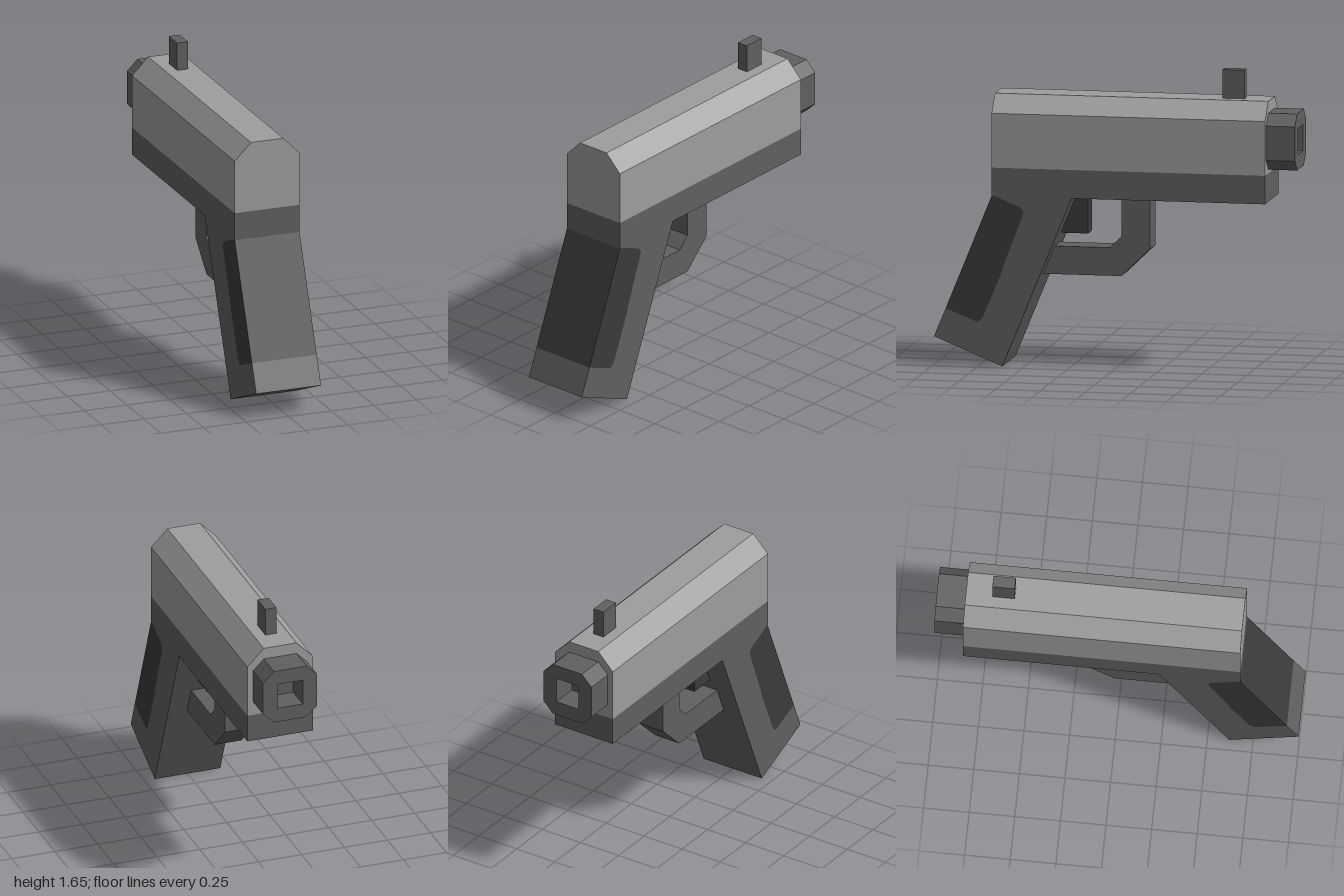
import * as THREE from 'three';

const mat = (name, color) => {
  const m = new THREE.MeshStandardMaterial({ color });
  m.name = name;
  return m;
};

const toShape = (pts) => new THREE.Shape(pts.map(([a, b]) => new THREE.Vector2(a, b)));

export function createModel() {
  const group = new THREE.Group();
  const light = mat('light grey', 0x9e9e9e);
  const mid = mat('mid grey', 0x606060);
  const dark = mat('dark grey', 0x3b3b3b);

  const add = (name, geometry, material) => {
    const mesh = new THREE.Mesh(geometry, material);
    mesh.name = name;
    group.add(mesh);
    return mesh;
  };

  // Side profile given as [z, y], extruded evenly about x = 0
  const side = (name, pts, width, material) => {
    const g = new THREE.ExtrudeGeometry(toShape(pts), { depth: width, bevelEnabled: false });
    g.translate(0, 0, -width / 2);
    g.rotateY(-Math.PI / 2);
    return add(name, g, material);
  };

  // Cross-section given as [x, y], extruded from z0 to z1
  const along = (name, shape, z0, z1, material) => {
    const g = new THREE.ExtrudeGeometry(shape, { depth: z1 - z0, bevelEnabled: false });
    g.translate(0, 0, z0);
    return add(name, g, material);
  };

  const box = (name, w, y0, y1, z0, z1, material) => {
    const g = new THREE.BoxGeometry(w, y1 - y0, z1 - z0);
    g.translate(0, (y0 + y1) / 2, (z0 + z1) / 2);
    return add(name, g, material);
  };

  // Chamfered upper body and the frame below it
  along('slide', toShape([
    [-0.19, 1.1], [0.19, 1.1], [0.19, 1.4], [0.095, 1.497], [-0.095, 1.497], [-0.19, 1.4],
  ]), -0.84, 0.68, light);
  box('frame', 0.38, 0.943, 1.1, -0.84, 0.68, mid);
  box('sight', 0.064, 1.49, 1.655, -0.695, -0.572, mid);

  // Eight-sided muzzle with a square opening
  const muzzle = toShape([
    [-0.095, 1.12], [0.095, 1.12], [0.157, 1.18], [0.157, 1.37],
    [0.095, 1.432], [-0.095, 1.432], [-0.157, 1.37], [-0.157, 1.18],
  ]);
  muzzle.holes.push(new THREE.Path([
    [-0.073, 1.203], [-0.073, 1.349], [0.073, 1.349], [0.073, 1.203],
  ].map(([x, y]) => new THREE.Vector2(x, y))));
  along('muzzle', muzzle, -1, -0.84, mid);
  box('muzzleBack', 0.146, 1.203, 1.349, -0.849, -0.84, mid);

  // Grip: the dark panel and the frame around it share one inner border
  const border = [
    [0.66, 0.943], [0.52, 0.885], [0.502, 0.855], [0.61, 0.57], [0.625, 0.52],
    [0.73, 0.27], [0.757, 0.245], [0.935, 0.316],
  ];
  side('grip', [...border, [1, 0.16], [0.62, 0.005], [0.235, 0.943]], 0.38, mid);
  side('gripPanel', [[0.68, 0.943], ...border], 0.38, dark);

  // Trigger and its guard
  box('trigger', 0.1, 0.73, 0.943, 0.17, 0.32, dark);
  side('triggerGuard', [
    [-0.18, 0.943], [-0.18, 0.66], [-0.02, 0.505], [0.42, 0.505],
    [0.37, 0.66], [0.045, 0.66], [-0.02, 0.725], [-0.02, 0.943],
  ], 0.156, mid);

  return group;
}
